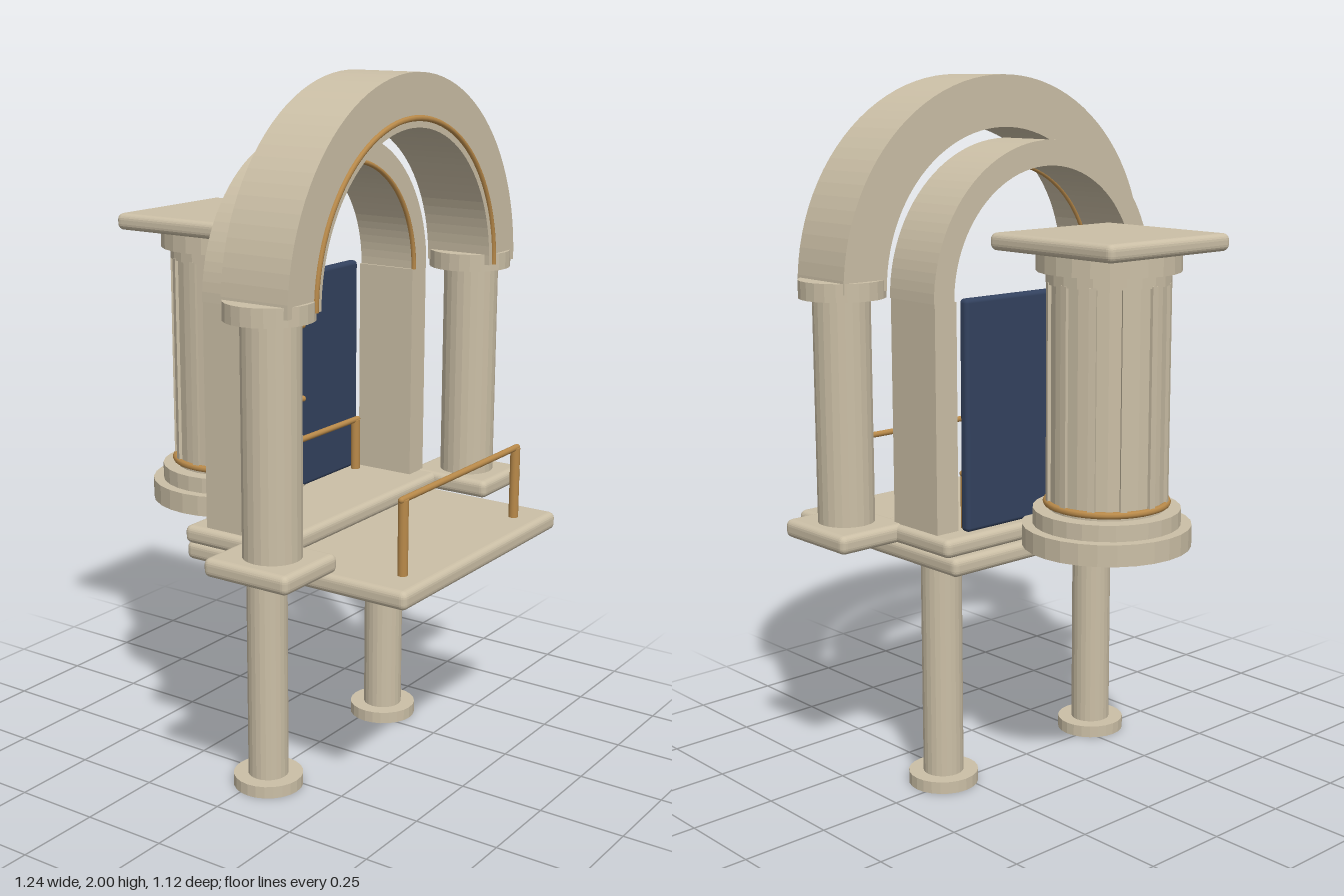
import * as THREE from 'three';
import { RoundedBoxGeometry } from 'three/addons/geometries/RoundedBoxGeometry.js';

const mat = (name, color, flatShading = false) => {
  const m = new THREE.MeshStandardMaterial({ color, flatShading });
  m.name = name;
  return m;
};

export function createModel() {
  const root = new THREE.Group();
  root.name = 'columnShrine';
  const stone = mat('stone', 0xcbbfa6, true);
  const gold = mat('gold', 0xb98a4a);
  const navy = mat('navy', 0x33425f);

  const add = (name, geo, material, x = 0, y = 0, z = 0, parent = root) => {
    const m = new THREE.Mesh(geo, material);
    m.name = name;
    m.position.set(x, y, z);
    parent.add(m);
    return m;
  };
  // Rounded block given by its extents
  const block = (name, material, x0, x1, y0, y1, z0, z1, r) =>
    add(name, new RoundedBoxGeometry(x1 - x0, y1 - y0, z1 - z0, 3, r), material,
      (x0 + x1) / 2, (y0 + y1) / 2, (z0 + z1) / 2);
  // Upright cylinder from y0 to y1
  const drum = (name, material, r, y0, y1, x, z, sides = 24) =>
    add(name, new THREE.CylinderGeometry(r, r, y1 - y0, sides), material, x, (y0 + y1) / 2, z);
  // Half-ring vault from z0 to z1
  const arch = (name, inner, outer, y, z0, z1) => {
    const s = new THREE.Shape();
    s.absarc(0, 0, outer, 0, Math.PI, false);
    s.absarc(0, 0, inner, Math.PI, 0, true);
    s.closePath();
    add(name, new THREE.ExtrudeGeometry(s, { depth: z1 - z0, bevelEnabled: false, curveSegments: 24 }),
      stone, 0, y, z0);
  };

  // Platforms
  block('platform', stone, -0.415, 0.415, 0.675, 0.727, -0.165, 0.555, 0.018);
  block('step', stone, -0.433, 0.433, 0.729, 0.78, -0.155, 0.155, 0.018);

  // Mirrored supports: legs, plinths, columns, capitals and walls
  for (const s of [-1, 1]) {
    const side = s > 0 ? 'left' : 'right';
    drum(side + 'Foot', stone, 0.1, 0, 0.035, s * 0.3, 0.03);
    drum(side + 'Leg', stone, 0.058, 0.035, 0.68, s * 0.3, 0.03);
    const p = [s * 0.62, s * 0.385].sort((a, b) => a - b);
    block(side + 'Plinth', stone, p[0], p[1], 0.73, 0.782, 0.06, 0.33, 0.018);
    drum(side + 'Column', stone, 0.08, 0.78, 1.41, s * 0.5, 0.2);
    drum(side + 'Capital', stone, 0.12, 1.41, 1.46, s * 0.5, 0.195);
    add(side + 'Wall', new THREE.BoxGeometry(0.075, 0.63, 0.185), stone, s * 0.375, 1.095, 0.0025);
  }

  // Arches with gold trim
  arch('frontArch', 0.425, 0.57, 1.43, 0.095, 0.303);
  arch('rearArch', 0.345, 0.415, 1.41, -0.09, 0.095);
  add('frontArchTrim', new THREE.TorusGeometry(0.45, 0.008, 8, 48, Math.PI), gold, 0, 1.43, 0.303);
  add('rearArchTrim', new THREE.TorusGeometry(0.345, 0.007, 8, 48, Math.PI), gold, 0, 1.41, 0.095);

  // Back panel with an open ring of beads
  block('backPanel', navy, -0.335, 0.335, 0.78, 1.42, -0.127, -0.095, 0.012);
  const beads = 24;
  const beadGeo = new THREE.SphereGeometry(0.009, 10, 8);
  for (let i = 0; i < beads; i++) {
    const a = THREE.MathUtils.degToRad(68 + (224 * i) / (beads - 1));
    add('bead', beadGeo, gold, 0.118 * Math.cos(a), 1.16 + 0.118 * Math.sin(a), -0.092);
  }

  // Railings
  const railing = (name, z, y0) => {
    for (const x of [-0.3, 0.3]) drum(name + 'Post', gold, 0.014, y0, 0.935, x, z, 14);
    const bar = add(name + 'Bar', new THREE.CapsuleGeometry(0.009, 0.62, 4, 12), gold, 0, 0.935, z);
    bar.rotation.z = Math.PI / 2;
  };
  railing('frontRail', 0.475, 0.725);
  railing('rearRail', -0.078, 0.78);

  // Ribbed column behind the panel
  const cz = -0.325;
  drum('pillarLowerBase', stone, 0.235, 0.73, 0.79, 0, cz, 28);
  drum('pillarUpperBase', stone, 0.205, 0.79, 0.835, 0, cz, 28);
  drum('pillarShaft', stone, 0.163, 0.835, 1.46, 0, cz);
  drum('pillarNeck', stone, 0.17, 1.455, 1.49, 0, cz);
  drum('pillarEchinus', stone, 0.197, 1.488, 1.54, 0, cz);
  block('pillarAbacus', stone, -0.23, 0.23, 1.54, 1.588, -0.555, -0.097, 0.018);
  const ribGeo = new THREE.BoxGeometry(0.02, 0.6, 0.02);
  for (let i = 0; i < 12; i++) {
    const a = (i * Math.PI) / 6;
    const rib = add('pillarRib', ribGeo, stone, 0.161 * Math.sin(a), 1.16, cz + 0.161 * Math.cos(a));
    rib.rotation.y = a;
  }
  const ring = add('pillarRing', new THREE.TorusGeometry(0.167, 0.01, 8, 40), gold, 0, 0.852, cz);
  ring.rotation.x = Math.PI / 2;

  return root;
}
